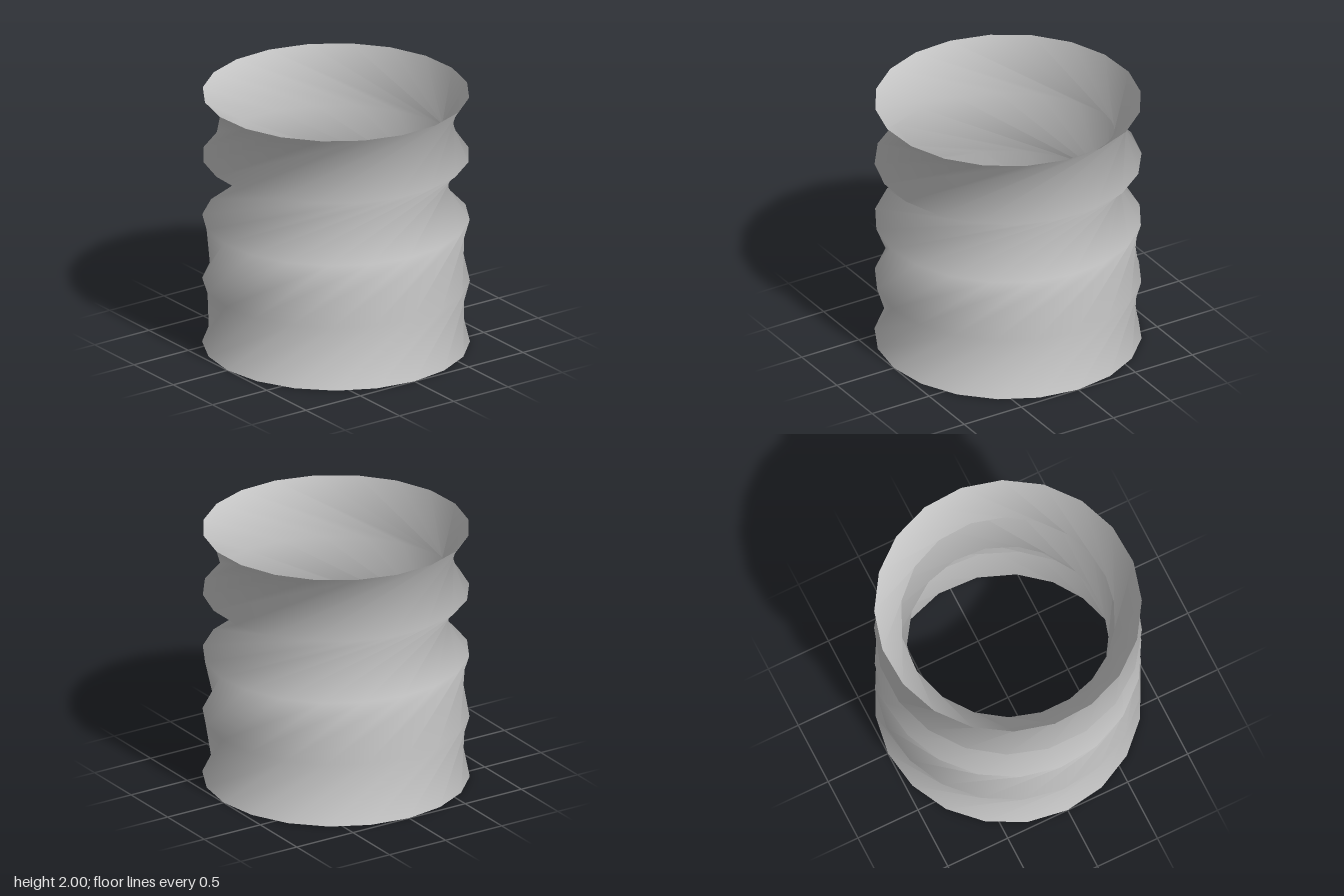
import * as THREE from 'three';

const SIDES = 20;
const STEP = 360 / SIDES;
const BAND_HEIGHT = 0.5;
// Twist in degrees from each ring to the one above it, bottom to top
const TWISTS = [34.5, 34.5, 66, 57];

// Open, twisted tube: polygon rings joined by slanted folded triangles
function twistedTube() {
  const positions = [];
  const indices = [];

  let phase = 0;
  for (let ring = 0; ring <= TWISTS.length; ring++) {
    for (let i = 0; i < SIDES; i++) {
      const a = THREE.MathUtils.degToRad(phase + i * STEP);
      positions.push(Math.sin(a), ring * BAND_HEIGHT, Math.cos(a));
    }
    phase += TWISTS[ring] ?? 0;
  }

  for (let ring = 0; ring < TWISTS.length; ring++) {
    const low = ring * SIDES;
    const high = low + SIDES;
    for (let i = 0; i < SIDES; i++) {
      const j = (i + 1) % SIDES;
      indices.push(low + i, low + j, high + j);
      indices.push(low + i, high + j, high + i);
    }
  }

  const geometry = new THREE.BufferGeometry();
  geometry.setAttribute('position', new THREE.Float32BufferAttribute(positions, 3));
  geometry.setIndex(indices);
  geometry.computeVertexNormals();
  return geometry;
}

export function createModel() {
  const group = new THREE.Group();
  group.name = 'foldedTube';
  const material = new THREE.MeshStandardMaterial({ color: 0xcccccc, side: THREE.DoubleSide });
  const tube = new THREE.Mesh(twistedTube(), material);
  tube.name = 'twistedWall';
  group.add(tube);
  return group;
}
